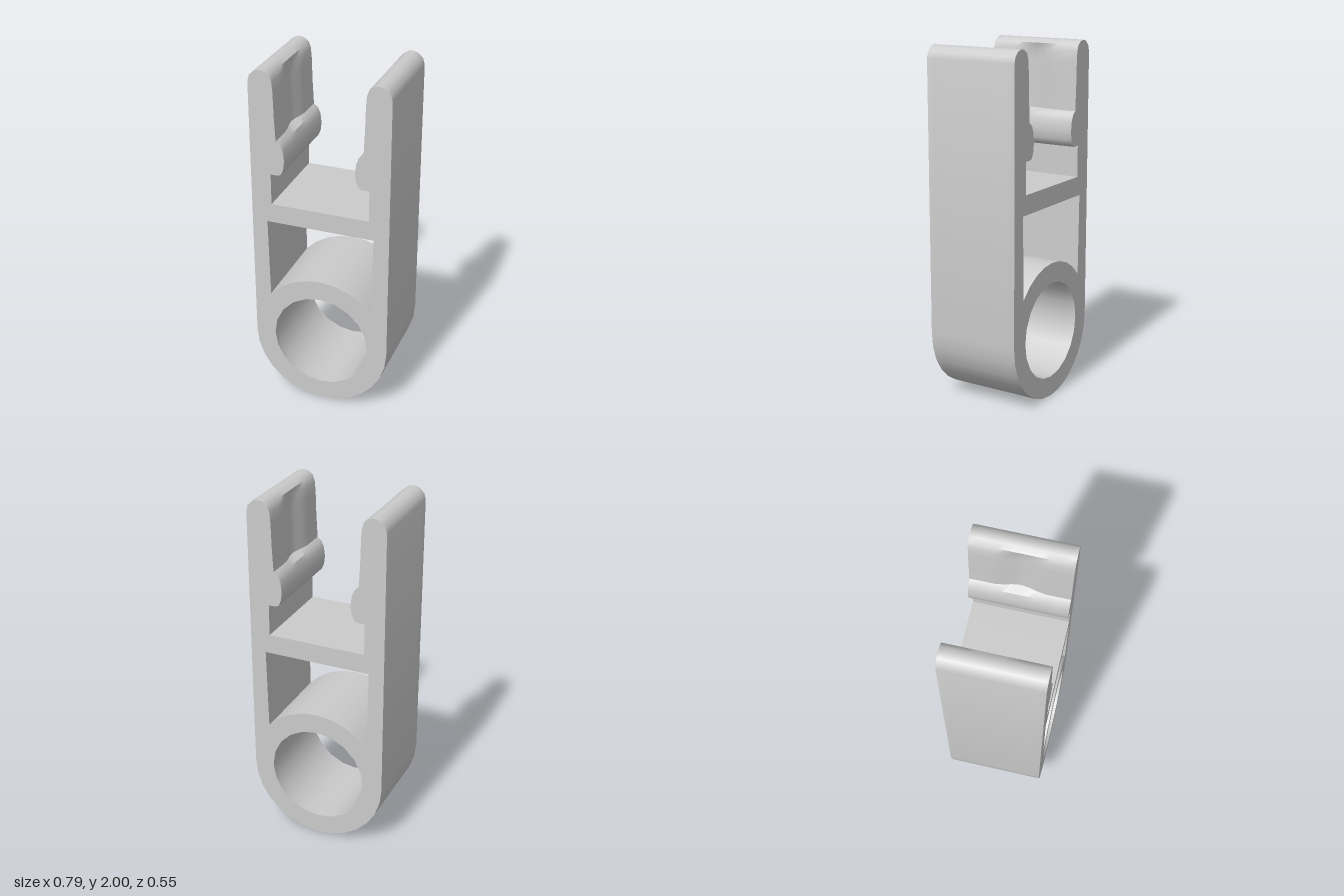
import * as THREE from 'three';
import { toCreasedNormals } from 'three/addons/utils/BufferGeometryUtils.js';

const DEPTH = 0.546;
const RING_Y = 0.395;
const OUTER_R = 0.395;
const HOLE_R = 0.28;

const vec = ([x, y]) => new THREE.Vector2(x, y);

// points of an arc around the ring centre, angles in radians
function arc(radius, from, to, segments) {
  const points = [];
  for (let i = 0; i <= segments; i++) {
    const a = from + ((to - from) * i) / segments;
    points.push([radius * Math.cos(a), RING_Y + radius * Math.sin(a)]);
  }
  return points;
}

const mirrored = (points) => points.map(([x, y]) => [-x, y]).reverse();

function clipShape() {
  // left arm: rounded tip, grip face, ridge, then down to the crossbar
  const arm = [
    [0.395, 1.93], [0.385, 1.965], [0.36, 1.99], [0.33, 2], [0.3, 1.995], [0.272, 1.975],
    [0.26, 1.94], [0.255, 1.88], [0.252, 1.75], [0.245, 1.61],
    [0.22, 1.59], [0.206, 1.555], [0.2, 1.5], [0.206, 1.45], [0.22, 1.42], [0.235, 1.41],
    [0.28, 1.41], [0.28, 1.23],
  ];
  const shape = new THREE.Shape(
    [...arc(OUTER_R, -Math.PI, 0, 14), ...arm, ...mirrored(arm)].map(vec));

  // window between the ring and the crossbar
  const start = Math.acos(0.3 / OUTER_R);
  const window = [...arc(OUTER_R, start, Math.PI - start, 8), [-0.308, 1.12], [0.308, 1.12]];
  shape.holes.push(new THREE.Path(window.map(vec)));

  // round bore of the ring
  const bore = arc(HOLE_R, 0, Math.PI * 2, 20).slice(0, -1);
  shape.holes.push(new THREE.Path(bore.map(vec)));
  return shape;
}

// shallow hollow across the middle of each arm's grip face
function hollowGripFaces(geometry) {
  const p = geometry.attributes.position;
  for (let i = 0; i < p.count; i++) {
    const x = p.getX(i), y = p.getY(i), z = p.getZ(i);
    if (Math.abs(x) > 0.265 || y < 1.6 || y > 1.96) continue;
    const t = Math.max(0, 1 - Math.abs(z) / 0.14);
    p.setX(i, x + Math.sign(x) * 0.025 * t * t * (3 - 2 * t));
  }
}

export function createModel() {
  const group = new THREE.Group();
  group.name = 'clip';

  const geometry = new THREE.ExtrudeGeometry(clipShape(), {
    depth: DEPTH, steps: 12, bevelEnabled: false,
  });
  geometry.translate(0, 0, -DEPTH / 2);
  hollowGripFaces(geometry);

  // one moulded piece: ring, two arms with grip ridges, and crossbar
  const body = new THREE.Mesh(
    toCreasedNormals(geometry, 0.7),
    new THREE.MeshStandardMaterial({ color: 0xcccccc }));
  body.name = 'clipBody';
  group.add(body);
  return group;
}
